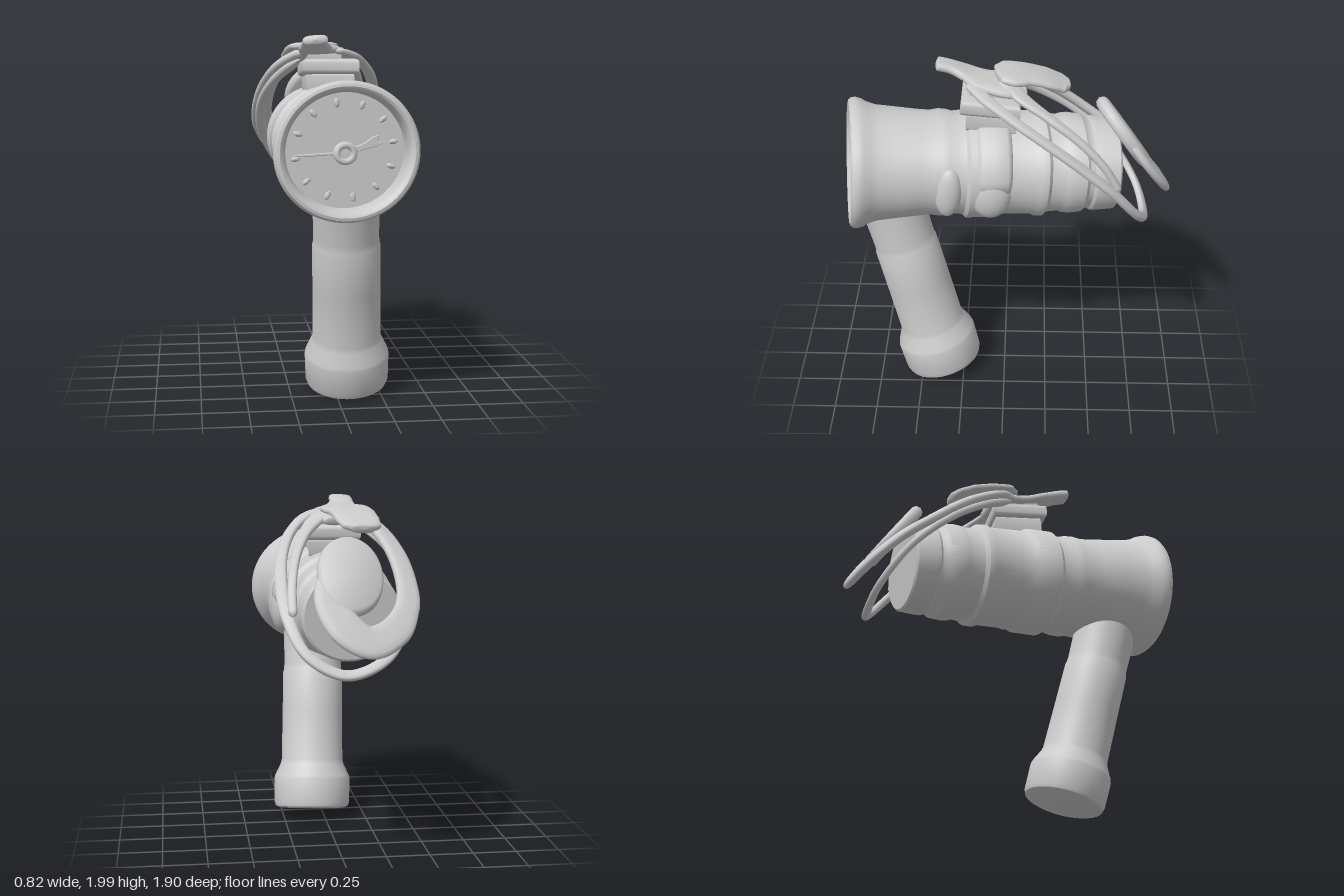
import * as THREE from 'three';
import { toCreasedNormals } from 'three/addons/utils/BufferGeometryUtils.js';

const V = (x, y, z) => new THREE.Vector3(x, y, z);
const material = new THREE.MeshStandardMaterial({ color: 0xcccccc, roughness: 0.8 });

function add(parent, geometry, name) {
  const mesh = new THREE.Mesh(geometry, material);
  mesh.name = name;
  parent.add(mesh);
  return mesh;
}

// Moves a part from the straight barrel frame to the slightly skewed barrel
function skew(geometry, crease = 0.6) {
  const p = geometry.attributes.position;
  for (let i = 0; i < p.count; i++) {
    const x = p.getX(i), y = p.getY(i), z = p.getZ(i);
    p.setXYZ(i, x * 1.065 - 0.012 + 0.035 * z, y + 1.405 + 0.02 * Math.min(z, 0), z - 0.17 * x - 0.07 * y);
  }
  return toCreasedNormals(geometry, crease);
}

// Smooth ellipsoid
function blob(x, y, z, sx, sy, sz) {
  return new THREE.SphereGeometry(1, 20, 14).scale(sx, sy, sz).translate(x, y, z);
}

// Box with rounded edges, made by a bevelled extrusion standing along y
function softBox(w, h, d, bevel = 0.025) {
  const a = w / 2 - bevel, b = d / 2 - bevel;
  const s = new THREE.Shape([[-a, -b], [a, -b], [a, b], [-a, b]].map(q => new THREE.Vector2(...q)));
  const g = new THREE.ExtrudeGeometry(s, {
    depth: h - 2 * bevel, bevelThickness: bevel, bevelSize: bevel, bevelSegments: 4,
  });
  return toCreasedNormals(g.translate(0, 0, bevel - h / 2).rotateX(-Math.PI / 2), 0.7);
}

// Flat strap swept along points [x, y, z, width] on a curved back-sloping sheet, leaning to -x
function ribbon(points, thickness, steps = 80, lean = 0) {
  const sides = 14;
  const curve = new THREE.CatmullRomCurve3(points.map(q => V(q[0], q[1], q[2])));
  const pos = [], index = [];
  for (let i = 0; i <= steps; i++) {
    const u = i / steps, f = u * (points.length - 1);
    const k = Math.min(Math.floor(f), points.length - 2);
    const width = THREE.MathUtils.lerp(points[k][3], points[k + 1][3], THREE.MathUtils.smoothstep(f - k, 0, 1));
    const c = curve.getPoint(u), t = curve.getTangent(u);
    const n = V(0.6 * c.x - lean, 0.8, 1.2 * Math.min(c.z, 0) - 0.12);
    n.addScaledVector(t, -n.dot(t)).normalize();
    const l = n.clone().cross(t);
    const end = Math.min(1, Math.sqrt(Math.min(u, 1 - u) / 0.03));
    for (let j = 0; j < sides; j++) {
      const a = (j / sides) * Math.PI * 2, co = Math.cos(a), si = Math.sin(a);
      const q = c.clone()
        .addScaledVector(l, end * width / 2 * Math.sign(co) * Math.abs(co) ** 0.6)
        .addScaledVector(n, end * thickness / 2 * Math.sign(si) * Math.abs(si) ** 0.8);
      pos.push(q.x, q.y, q.z);
      if (i < steps) {
        const a0 = i * sides + j, a1 = i * sides + (j + 1) % sides;
        index.push(a0, a1, a0 + sides, a1, a1 + sides, a0 + sides);
      }
    }
  }
  const g = new THREE.BufferGeometry();
  g.setAttribute('position', new THREE.Float32BufferAttribute(pos, 3));
  g.setIndex(index);
  g.computeVertexNormals();
  return g;
}

function lathe(profile, segments, start = 0, length = Math.PI * 2) {
  return new THREE.LatheGeometry(profile.map(q => new THREE.Vector2(...q)), segments, start, length);
}

export function createModel() {
  const model = new THREE.Group();

  // Barrel: closed back, raised bands, thick rounded rim and recessed dial face
  const dz = 0.755;
  const barrel = lathe([
    [0, -0.61], [0.243, -0.61], [0.255, -0.6], [0.265, -0.5], [0.265, -0.475], [0.252, -0.46], [0.257, -0.435],
    [0.275, -0.415], [0.282, -0.35], [0.278, -0.31], [0.27, -0.29], [0.278, -0.22], [0.299, -0.2],
    [0.301, -0.16], [0.289, -0.135], [0.291, 0.0], [0.295, 0.08], [0.309, 0.1], [0.311, 0.23],
    [0.292, 0.25], [0.287, 0.3], [0.298, 0.34], [0.3, 0.38], [0.292, 0.43], [0.298, 0.5],
    [0.313, 0.63], [0.324, 0.73], [0.34, 0.78], [0.359, 0.815], [0.367, 0.845], [0.364, 0.868], [0.353, 0.884],
    [0.338, 0.888], [0.323, 0.88], [0.312, 0.862], [0.307, 0.84], [0.303, dz], [0, dz],
  ], 72).rotateX(Math.PI / 2);
  add(model, skew(barrel), 'barrel');

  // Dial: hub, two hands and faint hour marks
  const dial = new THREE.Group();
  dial.name = 'dial';
  model.add(dial);
  add(dial, skew(new THREE.TorusGeometry(0.043, 0.018, 10, 28).translate(0, -0.015, dz + 0.02), 1.5), 'hubRing');
  add(dial, skew(new THREE.CylinderGeometry(0.045, 0.065, 0.03, 28).rotateX(Math.PI / 2)
    .translate(0, -0.015, dz + 0.008)), 'hub');
  const hands = [
    ['longHand', [[0.03, 0.012], [0.11, 0.014], [0.16, 0.032], [0.185, 0.03], [0.175, 0.004], [0.2, -0.015], [0.16, -0.018], [0.11, -0.012], [0.03, -0.012]], 0.32],
    ['thinHand', [[0.03, 0.006], [0.25, 0.002], [0.25, -0.002], [0.03, -0.006]], Math.PI + 0.03],
  ];
  for (const [name, outline, angle] of hands) {
    const shape = new THREE.Shape(outline.map(q => new THREE.Vector2(...q)));
    const g = new THREE.ExtrudeGeometry(shape, { depth: 0.008, bevelThickness: 0.006, bevelSize: 0.003, bevelSegments: 2 });
    add(dial, skew(g.rotateZ(angle).translate(0, -0.015, dz)), name);
  }
  for (let i = 0; i < 12; i++) {
    const g = blob(0.25, 0, dz, 0.024, 0.014, 0.007).rotateZ((i + 0.3) * Math.PI / 6);
    add(dial, skew(g, 1.5), 'hourMark');
  }

  // Handle with a wider foot, leaning forward; its top is saddle shaped to meet the barrel
  const handle = lathe([
    [0, 0], [0.2, 0], [0.224, 0.01], [0.233, 0.035], [0.236, 0.18], [0.231, 0.2], [0.197, 0.272],
    [0.19, 0.3], [0.187, 0.6], [0.185, 0.85], [0.181, 0.862], [0.178, 0.9], [0.182, 1.06], [0.1, 1.085], [0, 1.09],
  ], 56);
  const hp = handle.attributes.position;
  for (let i = 0; i < hp.count; i++) {
    if (hp.getY(i) > 1) hp.setY(i, hp.getY(i) + 2.8 * hp.getX(i) ** 2);
  }
  const grip = add(model, toCreasedNormals(handle, 0.45), 'handle');
  grip.quaternion.setFromUnitVectors(V(0, 1, 0), V(-0.038, 1.04, 0.262).normalize());
  grip.position.set(0.074, 0.055, 0.372);

  // Side strap running from the clip down into two soft lugs, sinking into the barrel at its end
  const strapProfile = [[0.285, 0.0], [0.312, 0.01], [0.325, 0.03], [0.328, 0.1], [0.325, 0.17], [0.312, 0.19], [0.285, 0.2]];
  const sideStrap = lathe(strapProfile, 32, 1.2, 1.75).rotateX(Math.PI / 2);
  const sp = sideStrap.attributes.position;
  for (let i = 0; i < sp.count; i++) {
    const k = 0.88 + 0.12 * THREE.MathUtils.smoothstep(sp.getY(i), -0.1, 0.06);
    sp.setXY(i, sp.getX(i) * k, sp.getY(i) * k);
  }
  add(model, skew(sideStrap, 1), 'sideStrap');
  add(model, skew(blob(0.27, -0.03, 0.35, 0.05, 0.15, 0.075), 1.5), 'sideLug');
  add(model, skew(blob(0.27, -0.05, 0.11, 0.06, 0.14, 0.11), 1.5), 'sideLug');

  // Stacked clip between the barrel and the straps
  [
    ['clipFoot', 0.27, 0.12, 0.28, 0, 1.72, 0.07],
    ['clipPlate', 0.32, 0.085, 0.33, 0, 1.81, 0.075],
    ['clipBlock', 0.19, 0.1, 0.2, -0.03, 1.875, 0.09],
  ].forEach(([name, w, h, d, x, y, z]) => {
    const part = add(model, softBox(w, h, d), name);
    part.position.set(x, y, z);
    part.rotation.x = -0.09;
  });

  // Straps draped over the top and round the back
  const straps = new THREE.Group();
  straps.name = 'straps';
  model.add(straps);
  add(straps, ribbon([
    [-0.1, 1.975, 0.385, 0.14], [-0.1, 1.955, 0.3, 0.14], [-0.085, 1.92, 0.2, 0.19],
    [-0.04, 1.9, 0.1, 0.27], [-0.03, 1.885, -0.01, 0.32], [-0.06, 1.865, -0.1, 0.22],
  ], 0.055), 'frontTab');
  add(straps, ribbon([
    [-0.05, 1.935, 0.05, 0.2], [-0.07, 1.93, -0.03, 0.3], [-0.1, 1.915, -0.12, 0.27],
    [-0.115, 1.885, -0.23, 0.26], [-0.13, 1.85, -0.31, 0.23], [-0.135, 1.83, -0.36, 0.12],
  ], 0.05), 'topPlate');
  add(straps, ribbon([
    [0.0, 1.91, 0.18, 0.12], [0.12, 1.885, 0.12, 0.08], [0.23, 1.81, -0.03, 0.065], [0.3, 1.7, -0.22, 0.065],
    [0.328, 1.56, -0.42, 0.07], [0.315, 1.4, -0.6, 0.07], [0.22, 1.2, -0.75, 0.06], [0.02, 1.1, -0.8, 0.06],
    [-0.2, 1.18, -0.76, 0.06], [-0.33, 1.38, -0.61, 0.06], [-0.355, 1.57, -0.4, 0.06],
    [-0.29, 1.73, -0.18, 0.06], [-0.15, 1.86, 0.02, 0.08],
  ], 0.04, 150), 'outerLoop');
  add(straps, ribbon([
    [-0.02, 1.915, -0.01, 0.14], [0.09, 1.875, -0.08, 0.1], [0.19, 1.785, -0.25, 0.065],
    [0.25, 1.67, -0.42, 0.05], [0.28, 1.54, -0.55, 0.05], [0.285, 1.39, -0.64, 0.05],
  ], 0.04), 'innerStrand');
  add(straps, ribbon([
    [-0.08, 1.92, -0.02, 0.16], [-0.22, 1.845, -0.1, 0.14], [-0.31, 1.72, -0.29, 0.13],
    [-0.345, 1.565, -0.49, 0.13], [-0.325, 1.44, -0.66, 0.14], [-0.235, 1.33, -0.8, 0.17],
    [-0.09, 1.285, -0.88, 0.19], [0.03, 1.355, -0.865, 0.2], [0.095, 1.475, -0.79, 0.19],
    [0.08, 1.575, -0.715, 0.18], [0.03, 1.62, -0.66, 0.18],
  ], 0.055, 150, 0.22), 'backHook');

  // Rounded plate at the end of the back hook
  const disc = lathe([[0, -0.036], [0.88, -0.036], [0.96, -0.025], [1, 0], [0.96, 0.025], [0.88, 0.036], [0, 0.036]], 48)
    .scale(0.185, 1, 0.24);
  const plate = add(straps, toCreasedNormals(disc, 0.9), 'hookPlate');
  plate.quaternion.setFromUnitVectors(V(0, 1, 0), V(-0.2, 0.57, -0.8).normalize());
  plate.position.set(-0.015, 1.605, -0.665);

  return model;
}
